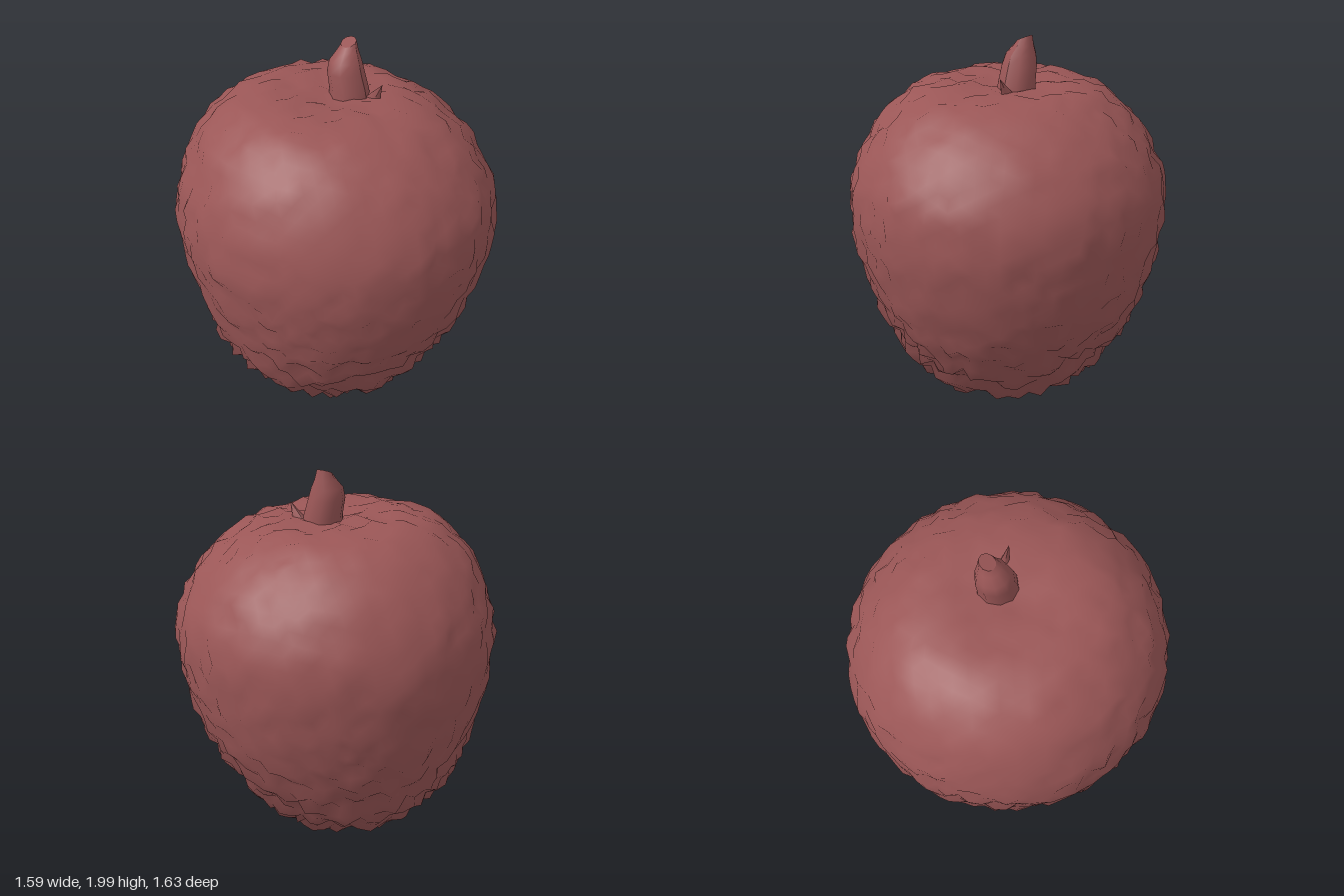
import * as THREE from 'three';
import { mergeVertices } from 'three/addons/utils/BufferGeometryUtils.js';

const skin = new THREE.MeshStandardMaterial({ name: 'dusty red', color: 0x9a5656 });

// Small seeded random generator
function seeded(seed) {
  return () => {
    seed = (seed * 1664525 + 1013904223) % 4294967296;
    return seed / 4294967296;
  };
}

// Half outline of the fruit from the top dimple to the bottom: [radius, height]
const outline = new THREE.CatmullRomCurve3([
  [0, 1.75], [0.14, 1.76], [0.3, 1.765], [0.42, 1.74], [0.51, 1.69], [0.625, 1.59],
  [0.7, 1.48], [0.755, 1.36], [0.783, 1.2], [0.772, 1.0], [0.735, 0.8], [0.675, 0.6],
  [0.585, 0.4], [0.45, 0.22], [0.27, 0.1], [0.13, 0.05], [0, 0.03],
].map(([r, y]) => new THREE.Vector3(r, y, 0)));

// Fruit: even triangle mesh wrapped onto the outline, then roughened
function makeFruit() {
  let geo = new THREE.IcosahedronGeometry(1, 15);
  geo.deleteAttribute('uv');
  geo.deleteAttribute('normal');
  geo = mergeVertices(geo, 1e-4);
  const pos = geo.attributes.position;
  const rand = seeded(7);
  const p = new THREE.Vector3();
  const n = new THREE.Vector3();
  const bumps = [];

  for (let i = 0; i < pos.count; i++) {
    p.fromBufferAttribute(pos, i).normalize();
    const a = Math.atan2(p.z, p.x);
    const q = outline.getPointAt(Math.acos(THREE.MathUtils.clamp(p.y, -1, 1)) / Math.PI);
    // the lower end leans back and to the right, the right back shoulder is higher
    const low = THREE.MathUtils.smoothstep(0.9 - q.y, 0, 0.6);
    const x = q.x * Math.cos(a) - 0.03 * low;
    const z = q.x * Math.sin(a) * 1.02 - 0.035 * low;
    const shoulder = THREE.MathUtils.smoothstep(q.y, 1.3, 1.75) * (-0.04 * x - 0.045 * z);
    pos.setXYZ(i, x, q.y + shoulder, z);
    bumps.push((rand() - 0.5) * (0.034 + 0.04 * low));
  }

  // push vertices along their normals: soft dents first, then the rough outer edge
  const push = (share) => {
    geo.computeVertexNormals();
    const normal = geo.attributes.normal;
    for (let i = 0; i < pos.count; i++) {
      p.fromBufferAttribute(pos, i);
      n.fromBufferAttribute(normal, i);
      p.addScaledVector(n, bumps[i] * share);
      pos.setXYZ(i, p.x, Math.max(p.y, 0), p.z);
    }
  };
  push(0.45);
  push(0.55);
  return geo;
}

// Stem: rings along a leaning path, bulging low down and slanted at the tip
function makeStem() {
  const rings = [
    // x, y, z, radius
    [0.07, 1.70, 0.03, 0.10], [0.07, 1.78, 0.025, 0.092], [0.07, 1.86, 0.005, 0.086],
    [0.075, 1.91, 0.0, 0.074], [0.09, 1.95, 0.0, 0.05], [0.097, 1.985, 0.0, 0.036],
  ];
  const sides = 10;
  const geo = new THREE.CylinderGeometry(1, 1, 1, sides, rings.length - 1);
  const pos = geo.attributes.position;
  for (let i = 0; i < pos.count; i++) {
    const k = Math.round((pos.getY(i) + 0.5) * (rings.length - 1));
    const [cx, cy, cz, r] = rings[k];
    const x = pos.getX(i);
    const slant = k === rings.length - 1 ? 0.015 * x : 0;
    pos.setXYZ(i, cx + x * r, cy + slant, cz + pos.getZ(i) * r);
  }
  geo.computeVertexNormals();
  return geo;
}

export function createModel() {
  const group = new THREE.Group();
  group.name = 'fruit';
  const add = (name, geo) => {
    const mesh = new THREE.Mesh(geo, skin);
    mesh.name = name;
    group.add(mesh);
    return mesh;
  };
  add('body', makeFruit());
  add('stem', makeStem());

  // Small torn flap reaching forward from the foot of the stem
  const flap = add('stemFlap', new THREE.ConeGeometry(0.035, 0.14, 5));
  flap.position.set(0.1, 1.765, 0.155);
  flap.rotation.x = 0.5;
  flap.scale.z = 1.6;
  return group;
}
